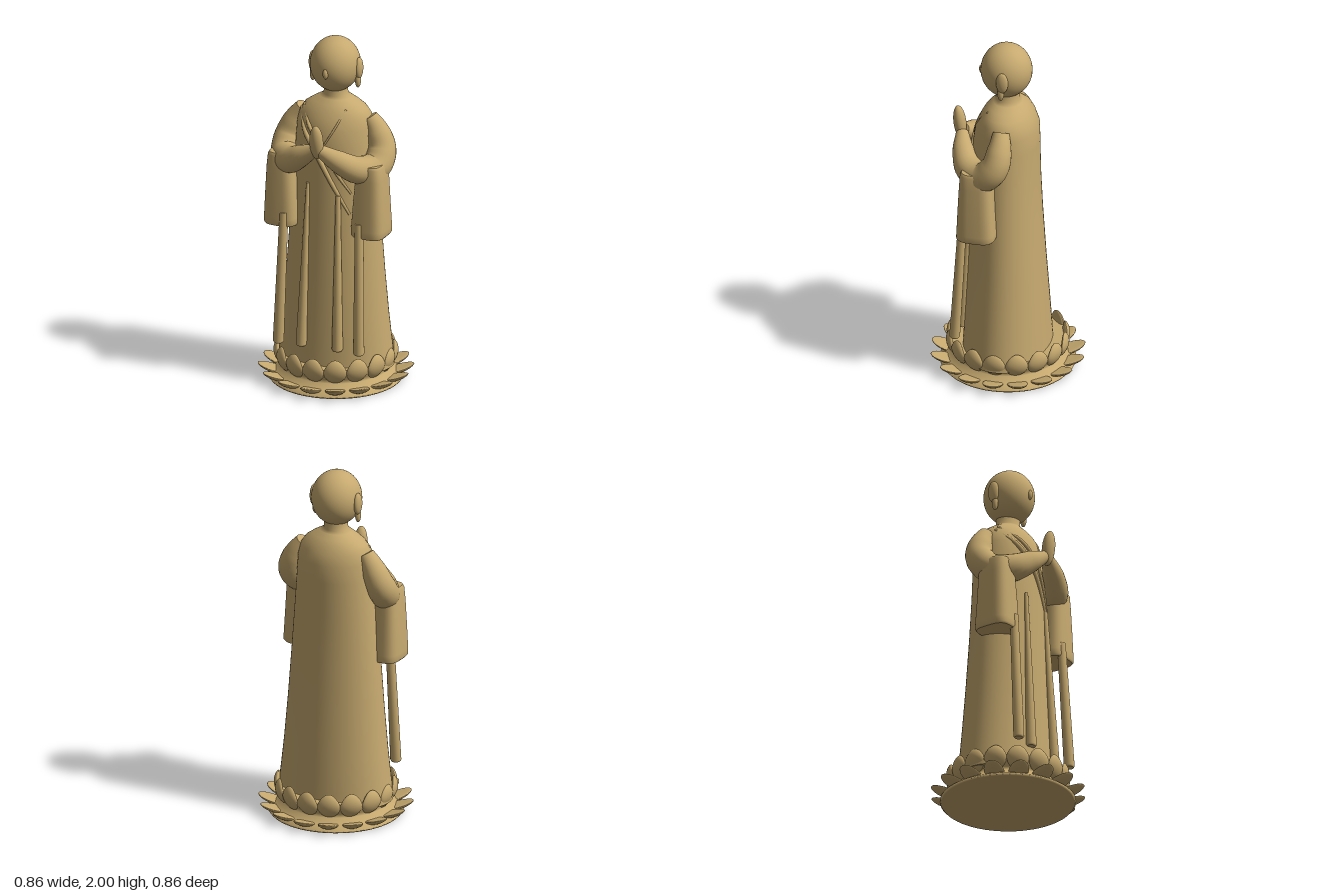
import * as THREE from 'three';

const V = (x, y, z) => new THREE.Vector3(x, y, z);

// Skins a list of rings (counter-clockwise about the direction of travel) and caps both ends
function loft(rings) {
  const n = rings[0].length, m = rings.length, pos = [], idx = [];
  rings.forEach(r => r.forEach(p => pos.push(p.x, p.y, p.z)));
  for (let i = 0; i < m - 1; i++) for (let j = 0; j < n; j++) {
    const k = (j + 1) % n, a = i * n + j, b = i * n + k, c = a + n, d = b + n;
    idx.push(a, b, c, b, d, c);
  }
  [0, m - 1].forEach(e => {
    const s = pos.length / 3, mid = V(0, 0, 0);
    rings[e].forEach(p => { pos.push(p.x, p.y, p.z); mid.addScaledVector(p, 1 / n); });
    pos.push(mid.x, mid.y, mid.z);
    for (let j = 0; j < n; j++) {
      const k = (j + 1) % n;
      if (e) idx.push(s + j, s + k, s + n); else idx.push(s + k, s + j, s + n);
    }
  });
  const g = new THREE.BufferGeometry();
  g.setAttribute('position', new THREE.Float32BufferAttribute(pos, 3));
  g.setIndex(idx);
  g.computeVertexNormals();
  return g;
}

// Linear lookup in rows that are sorted by their first value
function lookup(rows, y) {
  let i = 0;
  while (i < rows.length - 2 && y > rows[i + 1][0]) i++;
  const t = THREE.MathUtils.clamp((y - rows[i][0]) / (rows[i + 1][0] - rows[i][0]), 0, 1);
  return rows[i].map((v, k) => v + (rows[i + 1][k] - v) * t);
}

// Horizontal ring; power 1 is an ellipse, smaller values are boxier
function ring(y, cx, cz, rx, rzFront, rzBack = rzFront, power = 1, n = 48) {
  const pts = [], f = v => Math.sign(v) * Math.abs(v) ** power;
  for (let j = 0; j < n; j++) {
    const a = j / n * Math.PI * 2, c = f(Math.cos(a));
    pts.push(V(cx + rx * f(Math.sin(a)), y, cz + (c > 0 ? rzFront : rzBack) * c));
  }
  return pts;
}

// Tube of varying radius along a smooth path
function limb(points, radii, steps = 28, n = 20) {
  const curve = new THREE.CatmullRomCurve3(points);
  const { normals, binormals } = curve.computeFrenetFrames(steps, false);
  const rows = radii.map((r, i) => [i / (radii.length - 1), r]), rings = [];
  for (let i = 0; i <= steps; i++) {
    const c = curve.getPointAt(i / steps), r = lookup(rows, i / steps)[1], pts = [];
    for (let j = 0; j < n; j++) {
      const a = j / n * Math.PI * 2;
      pts.push(c.clone().addScaledVector(normals[i], r * Math.cos(a)).addScaledVector(binormals[i], r * Math.sin(a)));
    }
    rings.push(pts);
  }
  return loft(rings);
}

// Robe profile: height, half width, front depth, back depth
const ROBE = [
  [0.1, 0.335, 0.245, 0.245], [0.2, 0.325, 0.238, 0.238], [0.4, 0.302, 0.228, 0.225],
  [0.65, 0.28, 0.215, 0.207], [0.95, 0.258, 0.203, 0.188], [1.2, 0.24, 0.195, 0.177],
  [1.4, 0.225, 0.19, 0.175], [1.5, 0.218, 0.176, 0.172], [1.56, 0.205, 0.15, 0.15],
  [1.6, 0.178, 0.128, 0.13], [1.63, 0.135, 0.105, 0.107], [1.655, 0.092, 0.08, 0.08],
  [1.67, 0.068, 0.066, 0.066], [1.72, 0.066, 0.066, 0.066],
];
const robeFront = (x, y) => {
  const [, rx, rz] = lookup(ROBE, y);
  return rz * Math.sqrt(Math.max(0, 1 - (x / rx) ** 2));
};

export function createModel() {
  const model = new THREE.Group();
  const mat = new THREE.MeshStandardMaterial({ color: 0xc6a96f });
  mat.name = 'sandstone';
  const add = (name, geo, parent = model) => {
    const m = new THREE.Mesh(geo, mat);
    m.name = name;
    parent.add(m);
    return m;
  };

  // Robe with shoulders and neck
  add('robe', loft(ROBE.map(([y, rx, f, b]) => ring(y, 0, 0, rx, f, b, 1, 64))));

  // Head, ears and nose
  const ball = (name, p, s) => {
    const m = add(name, new THREE.SphereGeometry(1, 40, 28));
    m.position.set(...p);
    m.scale.set(...s);
    return m;
  };
  ball('head', [0, 1.845, 0.008], [0.14, 0.156, 0.143]);
  ball('nose', [0, 1.83, 0.145], [0.016, 0.03, 0.018]);
  for (const s of [1, -1]) {
    ball('earUpper', [s * 0.138, 1.835, 0], [0.021, 0.062, 0.034]);
    ball('earLobe', [s * 0.135, 1.765, 0.008], [0.016, 0.042, 0.018]);
  }

  // Arms folding to the middle, and hanging sleeves
  for (const s of [1, -1]) {
    add('arm', limb(
      [V(s * 0.195, 1.555, -0.01), V(s * 0.24, 1.48, -0.012), V(s * 0.277, 1.38, 0.005), V(s * 0.268, 1.3, 0.075),
        V(s * 0.2, 1.305, 0.17), V(s * 0.11, 1.36, 0.225), V(s * 0.015, 1.42, 0.255)],
      [0.045, 0.07, 0.082, 0.084, 0.076, 0.06, 0.034], 36, 24));
    const sleeve = [
      [0.915, 0.26, 0.11, 0.092, 0.103], [0.925, 0.26, 0.11, 0.1, 0.11], [0.96, 0.26, 0.11, 0.1, 0.108],
      [1.1, 0.262, 0.112, 0.092, 0.1], [1.25, 0.265, 0.112, 0.082, 0.092], [1.32, 0.265, 0.112, 0.075, 0.088],
      [1.335, 0.265, 0.112, 0.066, 0.08],
    ];
    add('sleeve', loft(sleeve.map(([y, cx, cz, rx, rz]) => ring(y, s * cx, cz, rx, rz, rz, 0.6, 40))));
  }

  // Joined hands
  const hands = ball('hands', [0, 1.472, 0.272], [0.039, 0.102, 0.035]);
  hands.rotation.x = 0.12;

  // Hanging cords: foot x, top x, top height, foot z, top z, top radius
  const cords = [
    [-0.24, -0.225, 1.0, 0.242, 0.2, 0.024], [0.24, 0.225, 1.0, 0.242, 0.2, 0.024],
    [-0.107, -0.088, 1.19, 0.232, 0.185, 0.01], [0.108, 0.092, 1.14, 0.232, 0.185, 0.014],
  ];
  for (const [x0, x1, top, z0, z1, r] of cords)
    add('cord', loft([
      ring(0.242, x0, z0, 0.024, 0.024, 0.024, 1, 16),
      ring(0.252, x0, z0, 0.031, 0.03, 0.03, 1, 16),
      ring(top, x1, z1, r, r, r, 1, 16),
    ]));

  // Crossed collar edges laid over the chest
  const collar = (name, pts, radii) =>
    add(name, limb(pts.map(([x, y]) => V(x, y, robeFront(x, y))), radii, 24, 12));
  collar('collarOuter', [[-0.185, 1.575], [-0.12, 1.48], [-0.03, 1.36], [0.06, 1.2], [0.15, 1.03]], [0.008, 0.015, 0.015, 0.013, 0.007]);
  collar('collarInner', [[-0.165, 1.6], [-0.09, 1.51], [0.0, 1.41], [0.08, 1.27], [0.155, 1.15]], [0.008, 0.012, 0.012, 0.01, 0.006]);
  collar('collarCross', [[0.1, 1.615], [0.06, 1.52], [0.0, 1.41]], [0.005, 0.006, 0.005]);

  // Lotus pedestal core
  const core = [[0, 0], [0.365, 0], [0.375, 0.012], [0.34, 0.035], [0.302, 0.065], [0.3, 0.085], [0.322, 0.115], [0.322, 0.15], [0.3, 0.14], [0, 0.14]];
  add('pedestal', new THREE.LatheGeometry(core.map(p => new THREE.Vector2(...p)), 64));

  // Rings of petals: squashed balls bent by a rule
  const petal = (sx, sy, sz, bend) => {
    const g = new THREE.SphereGeometry(1, 20, 14), p = g.attributes.position;
    g.scale(sx, sy, sz);
    for (let i = 0; i < p.count; i++) bend(p, i);
    g.computeVertexNormals();
    return g;
  };
  const lower = petal(0.056, 0.016, 0.085, (p, i) => {
    const x = p.getX(i), z = p.getZ(i) + 0.085;
    p.setXYZ(i, x, p.getY(i) + 0.018 + 1.7 * z * z + 3 * x * x, 0.26 + z);
  });
  const upper = petal(0.064, 0.07, 0.018, (p, i) => {
    const x = p.getX(i), y = p.getY(i);
    p.setXYZ(i, x * (y > 0 ? 1 - 3 * y : 1), y + 0.138, p.getZ(i) + 0.326 - 3.5 * (y - 0.02) ** 2 - 1.6 * x * x);
  });
  const lotus = new THREE.Group();
  lotus.name = 'lotusPetals';
  model.add(lotus);
  for (let i = 0; i < 16; i++) {
    const a = i / 16 * Math.PI * 2;
    add('lowerPetal', lower, lotus).rotation.y = a;
    add('upperPetal', upper, lotus).rotation.y = a;
  }
  return model;
}
